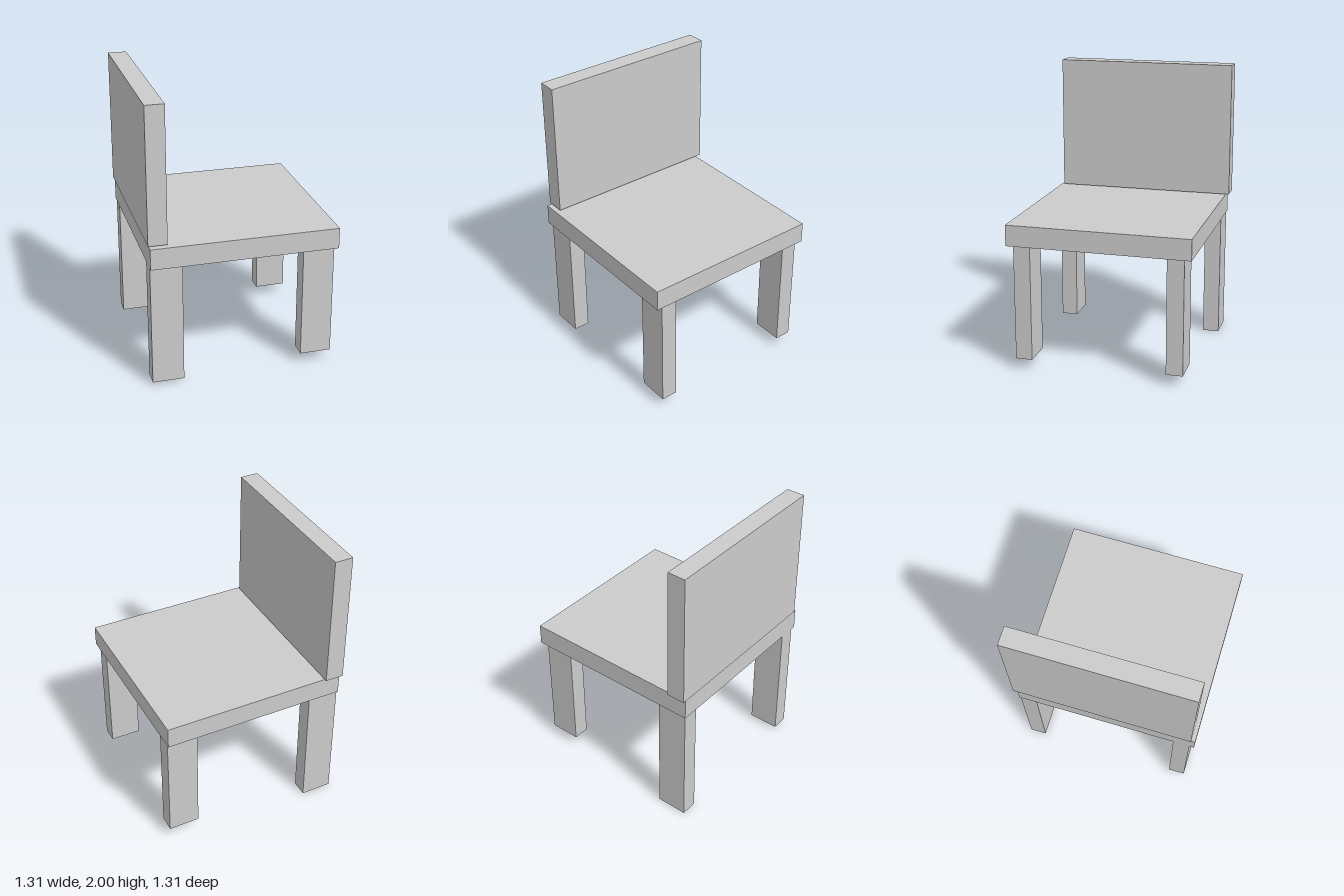
import * as THREE from 'three';

const material = new THREE.MeshStandardMaterial({ color: 0xcccccc, flatShading: true });

// Box given by its extents along each axis
function slab(name, [x0, x1], [y0, y1], [z0, z1]) {
  const mesh = new THREE.Mesh(new THREE.BoxGeometry(x1 - x0, y1 - y0, z1 - z0), material);
  mesh.name = name;
  mesh.position.set((x0 + x1) / 2, (y0 + y1) / 2, (z0 + z1) / 2);
  return mesh;
}

export function createModel() {
  const chair = new THREE.Group();
  chair.name = 'chair';
  const seatBottom = 0.89;

  // Seat, with the backrest floating just above its -x edge
  chair.add(slab('seat', [-0.648, 0.653], [seatBottom, 1.037], [-0.627, 0.653]));
  chair.add(slab('backrest', [-0.656, -0.525], [1.047, 2], [-0.656, 0.624]));

  // Legs of slightly uneven length: name, x start, foot height, z start
  const legs = [
    ['backrestFrontLeg', -0.647, 0.024, 0.503],
    ['backrestRearLeg', -0.641, 0, -0.62],
    ['openFrontLeg', 0.418, 0.077, 0.487],
    ['openRearLeg', 0.418, 0.077, -0.577],
  ];
  for (const [name, x, foot, z] of legs) {
    chair.add(slab(name, [x, x + 0.22], [foot, seatBottom], [z, z + 0.117]));
  }
  return chair;
}
